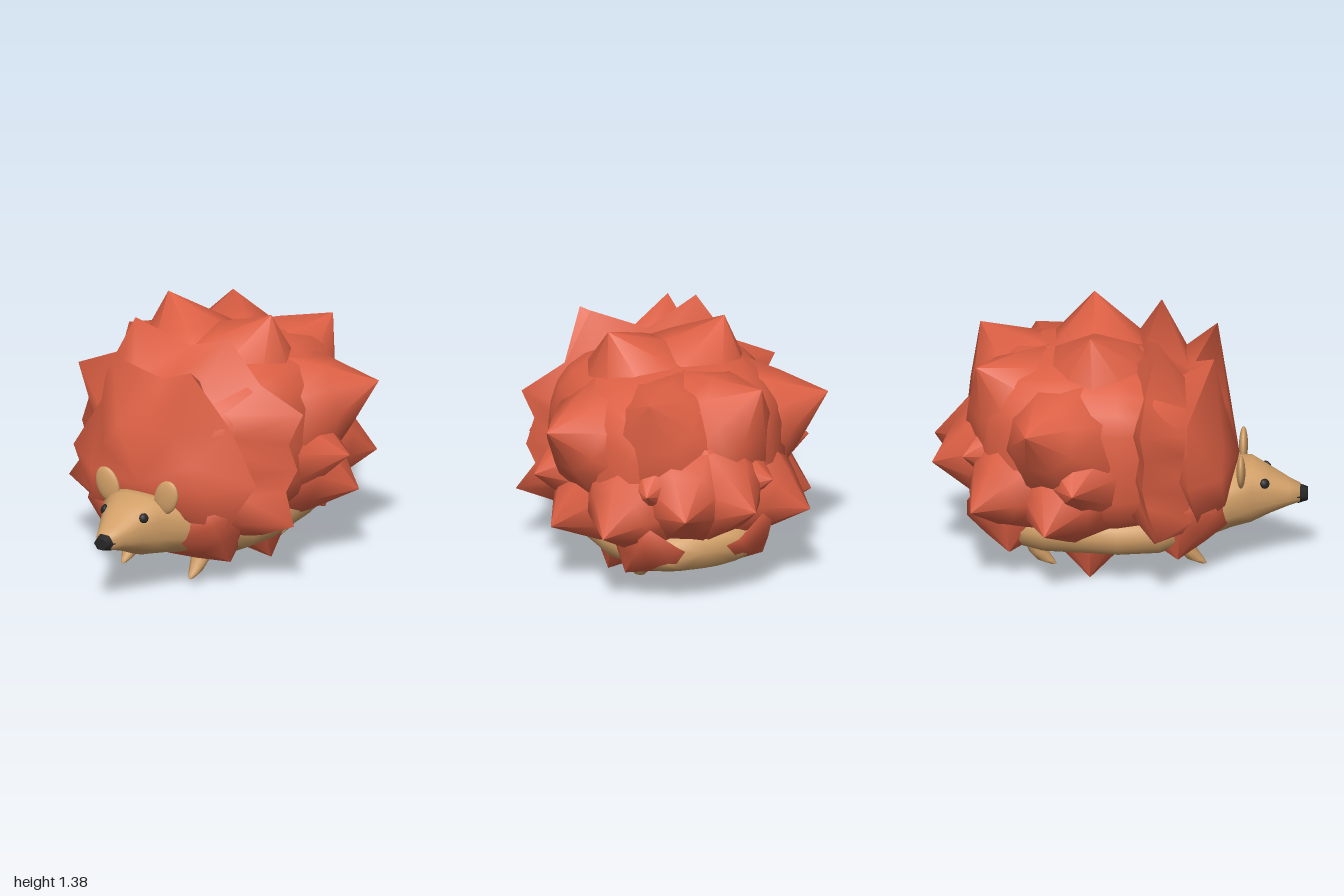
import * as THREE from 'three';
import { mergeVertices } from 'three/addons/utils/BufferGeometryUtils.js';

const mat = (color) => new THREE.MeshStandardMaterial({ color });
const red = mat(0xdd6044), tan = mat(0xd2a068), black = mat(0x262626);

function add(parent, name, geometry, material) {
  const mesh = new THREE.Mesh(geometry, material);
  mesh.name = name;
  parent.add(mesh);
  return mesh;
}

// Smooth skin joining closed rings of [x, y, z] points
function skin(rings) {
  const n = rings[0].length, idx = [];
  for (let i = 0; i < rings.length - 1; i++) {
    for (let j = 0; j < n; j++) {
      const p = i * n + j, q = i * n + ((j + 1) % n);
      idx.push(p, q, q + n, p, q + n, p + n);
    }
  }
  const geo = new THREE.BufferGeometry();
  geo.setAttribute('position', new THREE.Float32BufferAttribute(rings.flat(2), 3));
  geo.setIndex(idx);
  const merged = mergeVertices(geo);
  merged.computeVertexNormals();
  return merged;
}

// Rounded rings stacked along z (or y if upright); rows are [y, z, radiusA, radiusB]
function loft(rows, power, upright = false, sides = 24) {
  const bend = (v) => Math.sign(v) * Math.abs(v) ** power;
  return skin(rows.map(([y, z, a, b]) => Array.from({ length: sides }, (_, j) => {
    const t = (j / sides) * Math.PI * 2;
    const u = a * bend(Math.cos(t)), v = b * bend(Math.sin(t));
    return upright ? [u, y, z - v] : [u, y + v, z];
  })));
}

// Broad spike whose tip lies at `tip` and whose axis runs from `root`
function spikeGeometry(tip, root, height, radius) {
  const profile = [[radius * 1.02, -height * 1.4], [radius, -height], [radius * 0.55, -height * 0.52], [0, 0]]
    .map(([x, y]) => new THREE.Vector2(x, y));
  const geo = new THREE.LatheGeometry(profile, 8);
  const dir = tip.clone().sub(root).normalize();
  geo.applyQuaternion(new THREE.Quaternion().setFromUnitVectors(new THREE.Vector3(0, 1, 0), dir));
  geo.translate(tip.x, tip.y, tip.z);
  return geo;
}

// Full ring from the points on the left half, top to bottom on the centre line
const mirrorRing = (half) => [...half, ...half.slice(1, -1).reverse().map(([x, y, z]) => [-x, y, z])];

// Pointed collar: smooth front up to a star-shaped rim, steep back behind it
function addCollar(parent, name, frontRings, rimHalf, backZ) {
  const rim = mirrorRing(rimHalf);
  const behind = rim.map(([x, y]) => [x * 0.75, 0.68 + (y - 0.68) * 0.75, backZ]);
  add(parent, name, skin([...frontRings, rim]), red);
  add(parent, name + 'Back', skin([rim, behind]), red);
}

export function createModel() {
  const model = new THREE.Group();
  model.name = 'hedgehog';

  // Belly and head in one skin, tapering to the snout
  add(model, 'bodyAndHead', loft([
    [0.3, -0.77, 0, 0], [0.3, -0.765, 0.22, 0.09], [0.3, -0.66, 0.36, 0.14],
    [0.285, -0.4, 0.46, 0.17], [0.28, 0, 0.5, 0.17], [0.285, 0.22, 0.47, 0.17],
    [0.33, 0.42, 0.38, 0.16], [0.375, 0.6, 0.25, 0.17], [0.39, 0.7, 0.185, 0.17],
    [0.385, 0.8, 0.135, 0.118], [0.375, 0.9, 0.085, 0.07], [0.37, 0.96, 0.055, 0.047],
    [0.37, 0.961, 0, 0],
  ], 0.82), tan);

  // Rounded back under the spikes
  add(model, 'back', loft([
    [0.72, -0.77, 0, 0], [0.72, -0.76, 0.28, 0.26], [0.71, -0.69, 0.41, 0.38], [0.73, -0.55, 0.53, 0.45],
    [0.73, -0.3, 0.6, 0.48], [0.73, 0, 0.61, 0.48], [0.72, 0.2, 0.55, 0.45],
    [0.68, 0.4, 0.42, 0.36], [0.64, 0.54, 0.28, 0.25], [0.62, 0.57, 0, 0],
  ], 0.68), red);

  const coat = new THREE.Group();
  coat.name = 'spikes';
  model.add(coat);

  // Front collar closes over the brow
  const brow = mirrorRing([[0, 0.86, 0.575], [0.17, 0.88, 0.575], [0.28, 0.73, 0.56],
    [0.36, 0.58, 0.55], [0.34, 0.43, 0.57], [0, 0.42, 0.6]]);
  addCollar(coat, 'frontCollar', [brow.map(() => [0, 0.6, 0.635]), brow],
    [[0, 1.12, 0.4], [0.25, 1.24, 0.51], [0.41, 0.91, 0.37],
      [0.585, 0.62, 0.38], [0.41, 0.34, 0.43], [0, 0.3, 0.5]], 0.3);

  // Shoulder collar rises from behind the front one
  const shoulder = mirrorRing([[0, 1.08, 0.37], [0.2, 1.07, 0.38], [0.34, 0.98, 0.37], [0.42, 0.86, 0.37],
    [0.44, 0.76, 0.37], [0.46, 0.65, 0.37], [0.46, 0.53, 0.37], [0.44, 0.38, 0.4], [0.36, 0.29, 0.38], [0, 0.3, 0.36]]);
  addCollar(coat, 'shoulderCollar', [shoulder],
    [[0, 1.23, 0.14], [0.3, 1.35, 0.21], [0.46, 1.1, 0.15], [0.72, 0.98, 0.13], [0.64, 0.8, 0.15],
      [0.69, 0.66, 0.14], [0.63, 0.53, 0.16], [0.72, 0.37, 0.22], [0.5, 0.27, 0.2], [0, 0.3, 0.2]], 0.08);

  // Spikes: tip x, y, z, then z of the axis root, height, radius
  const spikes = [
    // lower front
    [0.38, 0.13, 0.32, 0.3, 0.2, 0.27],
    // middle ring
    [0.33, 1.38, -0.15, -0.1, 0.42, 0.44], [0.78, 0.65, -0.23, -0.1, 0.4, 0.37],
    [0.33, 0, -0.15, -0.15, 0.3, 0.29],
    // hip ring
    [0.32, 1.2, -0.76, -0.3, 0.4, 0.39], [0.8, 1.0, -0.48, -0.12, 0.42, 0.35],
    [0.74, 0.4, -0.38, -0.15, 0.38, 0.36], [0.39, 0.165, -0.58, -0.54, 0.2, 0.25],
    // rear ring
    [0.2, 0.6, -1, -0.45, 0.34, 0.35], [0.59, 0.47, -0.78, -0.25, 0.34, 0.31],
    [0.36, 0.7, -0.83, -0.35, 0.28, 0.26],
  ];

  for (const s of [1, -1]) {
    const side = s > 0 ? 'left' : 'right';
    for (const [x, y, z, rootZ, h, r] of spikes) {
      const root = new THREE.Vector3(0, 0.66, rootZ);
      add(coat, side + 'Spike', spikeGeometry(new THREE.Vector3(x * s, y, z), root, h, r), red);
    }

    // Small curved legs ending in pointed toes
    const legGeo = loft([
      [0.04, 0.46, 0, 0], [0.046, 0.45, 0.014, 0.018], [0.07, 0.41, 0.032, 0.045],
      [0.12, 0.37, 0.05, 0.05], [0.18, 0.345, 0.056, 0.05], [0.26, 0.34, 0.04, 0.04],
    ], 1, true, 10);
    add(model, side + 'FrontLeg', legGeo, tan).position.x = 0.215 * s;
    add(model, side + 'BackLeg', legGeo, tan).position.set(0.24 * s, -0.005, -0.8);

    // Flat round ears
    const ear = add(model, side + 'Ear', new THREE.SphereGeometry(1, 16, 12), tan);
    ear.scale.set(0.072, 0.1, 0.024);
    ear.position.set(0.187 * s, 0.56, 0.65);
    ear.rotation.z = -0.35 * s;

    // Eyes set into the sides of the face
    const eye = add(model, side + 'Eye', new THREE.SphereGeometry(1, 12, 10), black);
    eye.scale.set(0.017, 0.027, 0.027);
    eye.position.set(0.127 * s, 0.47, 0.775);
    eye.rotation.set(0, -0.5 * s, 0.35 * s);
  }

  // Six-sided nose
  const nose = new THREE.CylinderGeometry(0.042, 0.063, 0.055, 6);
  nose.rotateY(Math.PI / 6);
  nose.rotateX(Math.PI / 2);
  nose.scale(1, 0.85, 1);
  nose.translate(0, 0.365, 0.973);
  add(model, 'nose', nose, black);

  return model;
}
